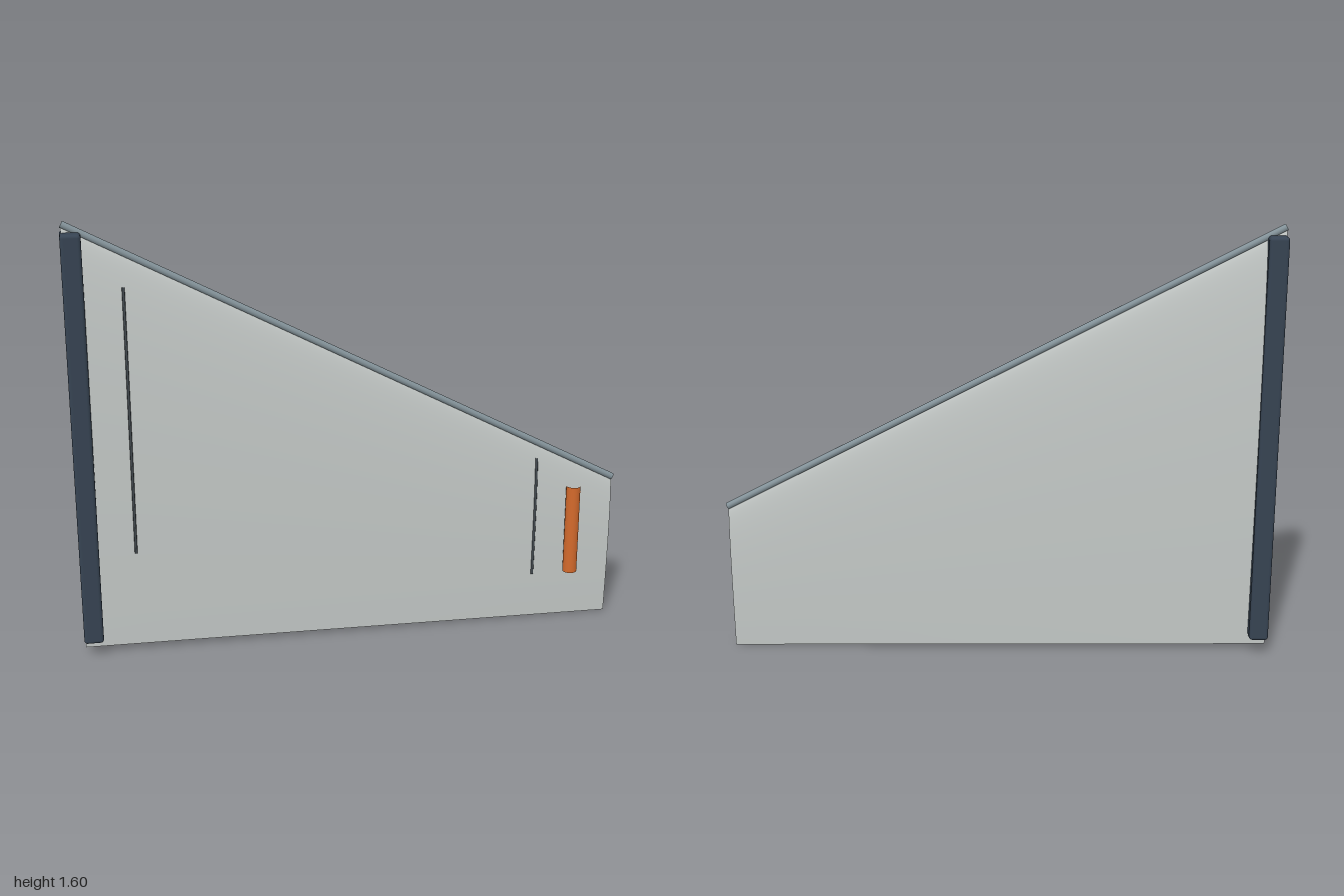
import * as THREE from 'three';
import { RoundedBoxGeometry } from 'three/addons/geometries/RoundedBoxGeometry.js';

const mat = (name, color, side = THREE.FrontSide) =>
  Object.assign(new THREE.MeshStandardMaterial({ color, side }), { name });

const X0 = -0.995, X1 = 0.99, ZC = -0.004;
const lerp = THREE.MathUtils.lerp;

// Point on the wing skin: x along the span, t = chord fraction from the leading edge, side = +1 front / -1 back
function skin(x, t, side, lift = 0) {
  const s = (x - X0) / (X1 - X0);
  const lead = lerp(1.585, 0.553, s), trail = lerp(0.025, 0.003, s);
  const half = lerp(0.032, 0.014, s);
  const shape = 10 * (0.2969 * Math.sqrt(t) - 0.126 * t - 0.3516 * t * t + 0.2843 * t ** 3 - 0.1036 * t ** 4);
  return new THREE.Vector3(x, lerp(lead, trail, t), ZC + side * (half * Math.max(shape, 0) + lift));
}

// Tapered airfoil lofted from root to tip, with flat end caps
function wingGeometry() {
  const pos = [], idx = [], n = 48, spans = 8;
  const ring = (x) => {
    const start = pos.length / 3;
    for (let j = 0; j <= n; j++) {
      const u = (j / n) * 2 - 1;
      const t = 1 - Math.cos(u * Math.PI / 2);
      pos.push(...skin(x, t, u < 0 ? 1 : -1).toArray());
    }
    return start;
  };
  const quad = (a, b, c, d) => idx.push(a, b, c, a, c, d);
  const rings = [];
  for (let i = 0; i <= spans; i++) rings.push(ring(lerp(X0, X1, i / spans)));
  for (let i = 0; i < spans; i++)
    for (let j = 0; j < n; j++)
      quad(rings[i] + j, rings[i + 1] + j, rings[i + 1] + j + 1, rings[i] + j + 1);
  const root = ring(X0), tip = ring(X1);
  for (let j = 0; j < n / 2; j++) {
    quad(tip + j, tip + n - j, tip + n - j - 1, tip + j + 1);
    quad(root + j, root + j + 1, root + n - j - 1, root + n - j);
  }
  const g = new THREE.BufferGeometry();
  g.setAttribute('position', new THREE.Float32BufferAttribute(pos, 3));
  g.setIndex(idx);
  g.computeVertexNormals();
  return g;
}

export function createModel() {
  const model = new THREE.Group();
  model.name = 'wingPanel';
  const panel = mat('panelGrey', 0xc6cbc9);
  const steel = mat('edgeSteel', 0x84939a);
  const navy = mat('rootNavy', 0x364352);
  const seam = mat('seamDark', 0x41484d);
  const orange = mat('markerOrange', 0xd46a2c, THREE.FrontSide);
  const add = (name, geometry, material) => {
    const m = new THREE.Mesh(geometry, material);
    m.name = name;
    model.add(m);
    return m;
  };

  add('wingSkin', wingGeometry(), panel);

  // Rounded tube along the leading edge
  const edge = new THREE.LineCurve3(new THREE.Vector3(-0.994, 1.588, ZC), new THREE.Vector3(0.994, 0.556, ZC));
  add('leadingEdge', new THREE.TubeGeometry(edge, 1, 0.0125, 16), steel);

  // Root mounting rail
  add('rootRail', new RoundedBoxGeometry(0.07, 1.5, 0.106, 3, 0.012), navy).position.set(-0.965, 0.81, ZC);

  // Thin seams following the front skin
  for (const [name, x] of [['rootSeam', -0.798], ['tipSeam', 0.692]]) {
    const pts = Array.from({ length: 9 }, (_, i) => skin(x, lerp(0.078, 0.748, i / 8), 1, 0.001));
    add(name, new THREE.TubeGeometry(new THREE.CatmullRomCurve3(pts), 24, 0.005, 8), seam);
  }

  // Open-ended marker sleeve near the tip
  add('tipMarker', new THREE.CylinderGeometry(0.0265, 0.0265, 0.345, 24, 1, true), orange)
    .position.set(0.832, 0.37, 0.033);

  return model;
}
